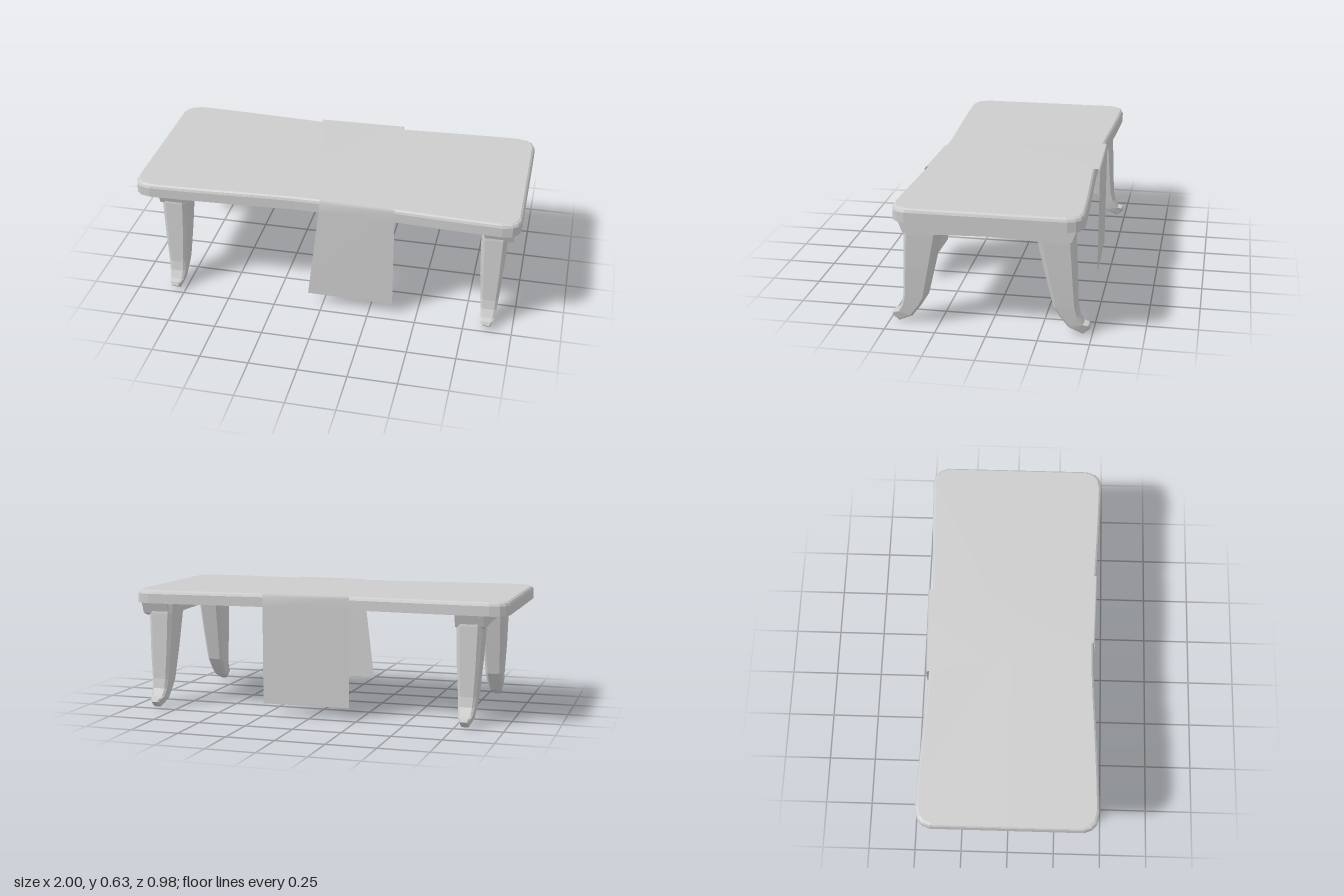
import * as THREE from 'three';

const grey = new THREE.MeshStandardMaterial({ color: 0xcccccc, side: THREE.DoubleSide });
grey.name = 'grey';

// Faceted solid through rings of equal point count, with both ends capped.
function loft(rings) {
  const tris = [];
  const n = rings[0].length;
  for (let r = 0; r < rings.length - 1; r++) {
    for (let i = 0; i < n; i++) {
      const j = (i + 1) % n;
      const [a, b, c, d] = [rings[r][i], rings[r][j], rings[r + 1][j], rings[r + 1][i]];
      tris.push([a, b, c], [a, c, d]);
    }
  }
  const cap = (ring, flip) => {
    const mid = new THREE.Vector3();
    ring.forEach((p) => mid.addScaledVector(p, 1 / n));
    ring.forEach((p, i) => {
      const q = ring[(i + 1) % n];
      tris.push(flip ? [mid, q, p] : [mid, p, q]);
    });
  };
  cap(rings[0], true);
  cap(rings[rings.length - 1], false);
  // Turn the faces outward whatever the ring direction
  let volume = 0;
  const cross = new THREE.Vector3();
  tris.forEach(([a, b, c]) => { volume += a.dot(cross.crossVectors(b, c)); });
  if (volume < 0) tris.forEach((t) => t.reverse());
  const geometry = new THREE.BufferGeometry().setFromPoints(tris.flat());
  geometry.computeVertexNormals();
  return geometry;
}

const vec = (x, y, z) => new THREE.Vector3(x, y, z);

// Tabletop: waisted long sides, rounded corners, bevelled upper edge
function tabletop() {
  const quarter = [[1, 0], [1, 0.385], [0.985, 0.425], [0.96, 0.448], [0.91, 0.46]];
  for (const x of [0.75, 0.6, 0.45, 0.3, 0.15]) {
    quarter.push([x, 0.42 + 0.04 * THREE.MathUtils.smoothstep(x, -0.1, 0.98)]);
  }
  const outline = [];
  for (let k = 0; k < 4; k++) {
    const sx = k === 0 || k === 3 ? 1 : -1;
    const sz = k < 2 ? 1 : -1;
    const pts = quarter.map(([x, z]) => [sx * x, sz * z]);
    if (k % 2) pts.reverse();
    // The end-centre points are shared between two quarters
    outline.push(...pts.slice(k === 2 ? 1 : 0, k === 3 ? -1 : undefined));
  }
  const layer = (y, inset) =>
    outline.map(([x, z]) => vec(x * (1 - inset), y, z * (1 - inset / 0.45)));
  return loft([layer(0.56, 0), layer(0.61, 0), layer(0.622, 0.005), layer(0.629, 0.014)]);
}

// Apron: cross rail under each end with a gently arched lower edge
function apron(x) {
  const half = [[0.425, 0.557], [0.404, 0.5], [0.369, 0.487], [0.18, 0.498]];
  const profile = [...half, [0, 0.503], ...half.map(([z, y]) => [-z, y]).reverse()];
  return loft(profile.map(([z, y]) => [
    vec(x - 0.072, 0.562, z), vec(x + 0.072, 0.562, z),
    vec(x + 0.072, y, z), vec(x - 0.072, y, z),
  ]));
}

// Leg: chamfered section swept down to an out-turned foot
function leg(x, side) {
  // outer z, outer y, inner z, inner y, half width
  const sections = [
    [0.402, 0.55, 0.22, 0.55, 0.066],
    [0.41, 0.5, 0.232, 0.495, 0.065],
    [0.419, 0.3, 0.272, 0.315, 0.057],
    [0.426, 0.15, 0.312, 0.14, 0.046],
    [0.436, 0.1, 0.337, 0.1, 0.042],
    [0.458, 0.06, 0.385, 0.037, 0.036],
    [0.483, 0.053, 0.42, 0.02, 0.029],
    [0.491, 0.035, 0.453, 0.003, 0.02],
  ];
  return loft(sections.map(([oz, oy, iz, iy, w]) => {
    // t runs from the outer edge (0) to the inner edge (1)
    const at = (t, dx) => vec(x + dx, oy + (iy - oy) * t, side * (oz + (iz - oz) * t));
    const n = w * 0.7;
    return [at(0, -n), at(0, n), at(0.1, w), at(0.86, w),
      at(1, n), at(1, -n), at(0.86, -w), at(0.1, -w)];
  }));
}

// Runner: one thin cloth draped askew over the top and down both sides
function runner() {
  // left x, left z, right x, right z, y
  const rows = [
    [-0.08, 0.434, 0.372, 0.444, 0.058],
    [-0.02, 0.432, 0.372, 0.443, 0.56],
    [-0.013, 0.431, 0.372, 0.442, 0.618],
    [-0.012, 0.42, 0.37, 0.432, 0.633],
    [-0.193, -0.434, 0.266, -0.445, 0.633],
    [-0.195, -0.442, 0.266, -0.455, 0.618],
    [-0.195, -0.442, 0.266, -0.454, 0.56],
    [-0.195, -0.44, 0.266, -0.452, 0.058],
  ];
  const points = rows.flatMap(([x0, z0, x1, z1, y]) => [vec(x0, y, z0), vec(x1, y, z1)]);
  const index = [];
  for (let i = 0; i < rows.length - 1; i++) {
    const a = i * 2;
    index.push(a, a + 1, a + 3, a, a + 3, a + 2);
  }
  const geometry = new THREE.BufferGeometry().setFromPoints(points);
  geometry.setIndex(index);
  geometry.computeVertexNormals();
  return geometry;
}

export function createModel() {
  const model = new THREE.Group();
  model.name = 'table';
  const add = (name, geometry) => {
    const mesh = new THREE.Mesh(geometry, grey);
    mesh.name = name;
    model.add(mesh);
  };
  add('tabletop', tabletop());
  add('runner', runner());
  for (const [end, apronX, legX] of [['right', -0.803, -0.8], ['left', 0.893, 0.87]]) {
    add(`${end} apron`, apron(apronX));
    add(`${end} front leg`, leg(legX, 1));
    add(`${end} back leg`, leg(legX, -1));
  }
  return model;
}
